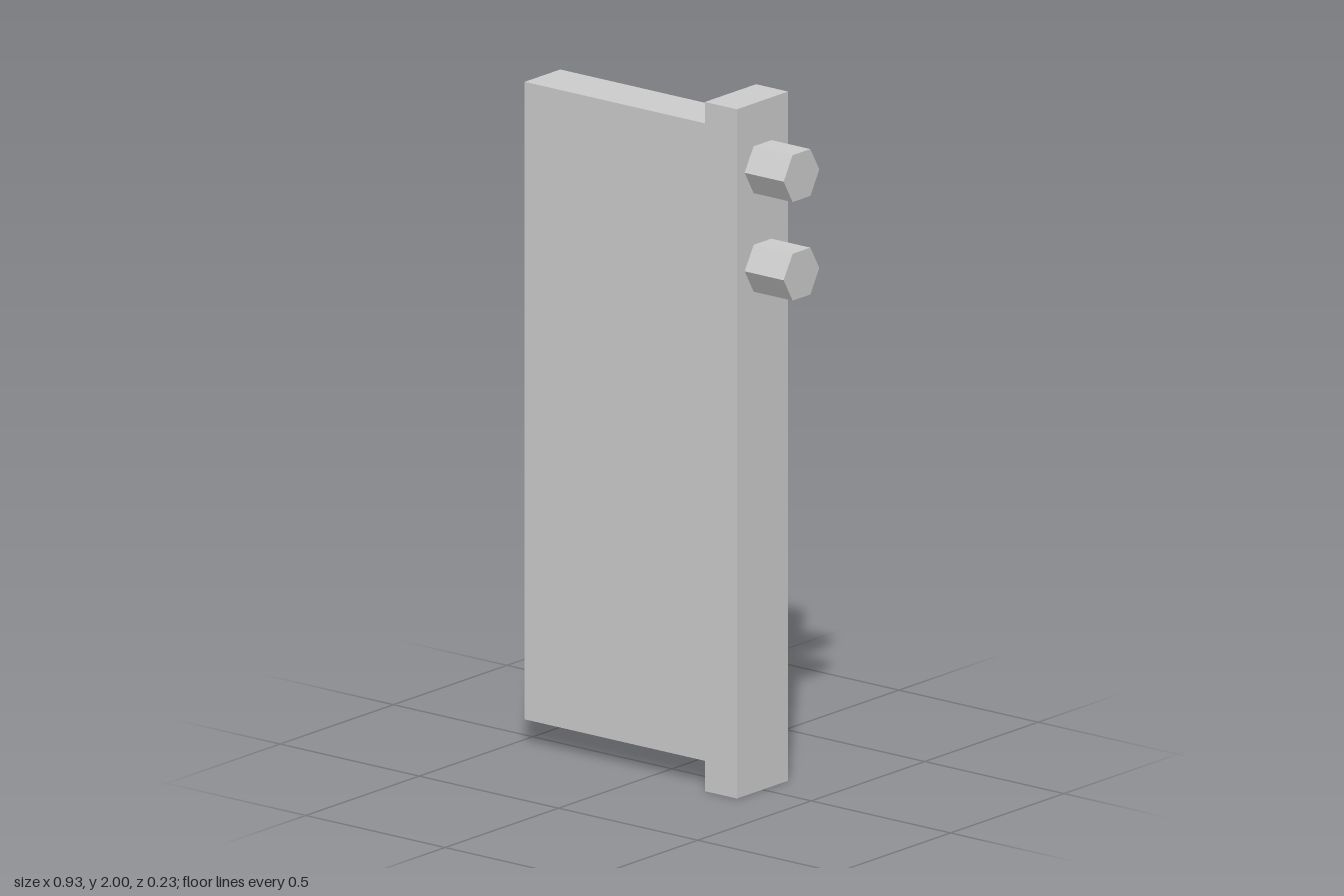
import * as THREE from 'three';

const material = new THREE.MeshStandardMaterial({ color: 0xcccccc, flatShading: true });

function addPart(group, name, geometry, x, y, z = 0) {
  const mesh = new THREE.Mesh(geometry, material);
  mesh.name = name;
  mesh.position.set(x, y, z);
  group.add(mesh);
  return mesh;
}

export function createModel() {
  const group = new THREE.Group();
  group.name = 'boltedPanel';

  // Main flat panel, butting against the edge plate
  addPart(group, 'panel', new THREE.BoxGeometry(0.675, 1.85, 0.157), -0.1275, 1.0);

  // Taller, thicker plate along the panel's left edge
  addPart(group, 'edgePlate', new THREE.BoxGeometry(0.115, 2, 0.226), 0.2675, 1.0);

  // Two hexagonal pegs standing out of the plate, corners pointing along z
  const peg = new THREE.CylinderGeometry(0.0785, 0.0785, 0.14, 6).rotateZ(Math.PI / 2);
  [['upperPeg', 1.808], ['lowerPeg', 1.522]].forEach(([name, y]) => {
    addPart(group, name, peg, 0.395, y);
  });

  return group;
}
